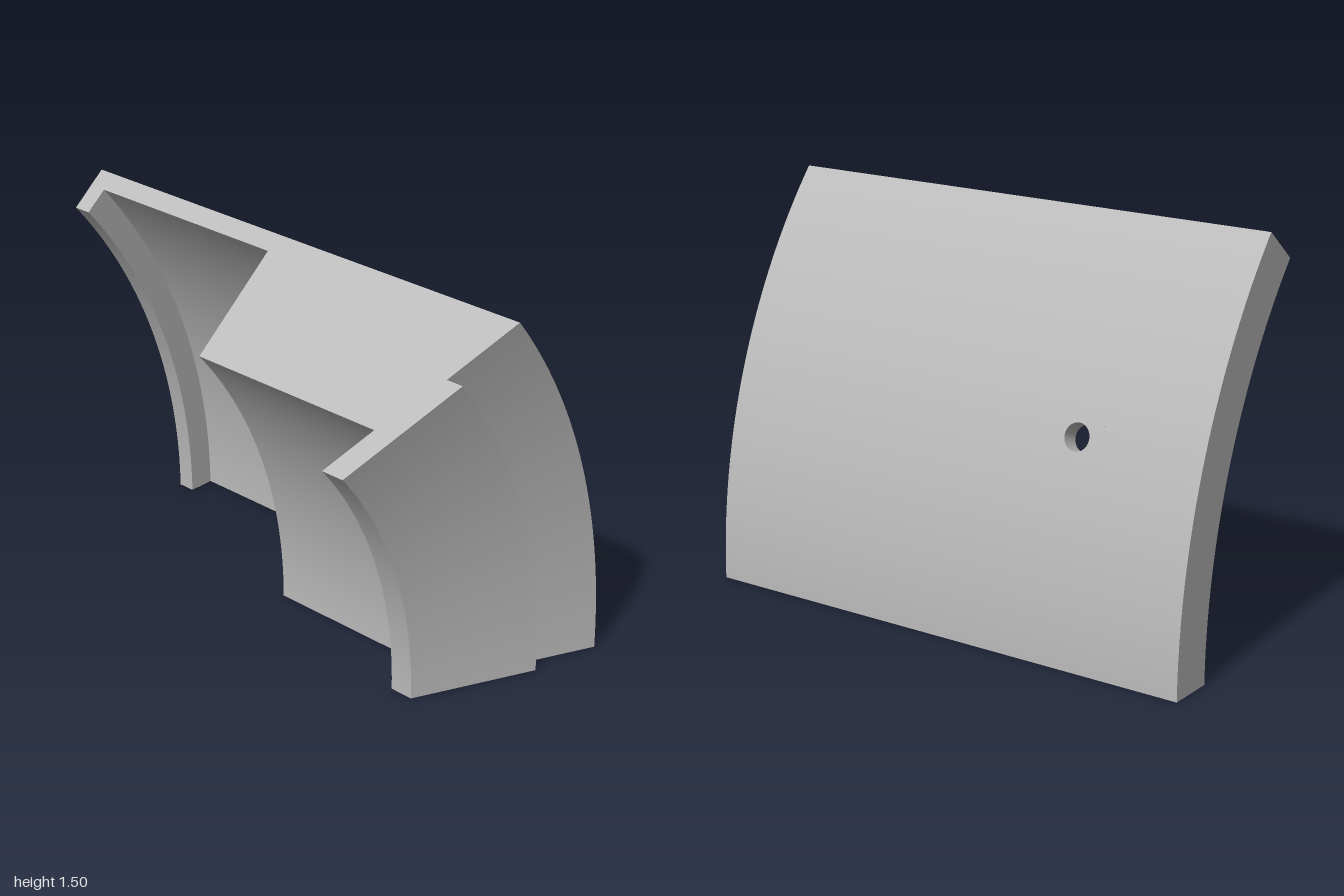
import * as THREE from 'three';
import { mergeGeometries } from 'three/addons/utils/BufferGeometryUtils.js';
import { ParametricGeometry } from 'three/addons/geometries/ParametricGeometry.js';

const AXIS_X = -1.781;                        // sweep axis, parallel to z
const rad = THREE.MathUtils.degToRad;
const SWEEP = rad(40);
const HOLE = { z: -0.5, angle: rad(20), radius: 0.05, halfZ: 0.1, halfAngle: rad(2.5) };
const R_OUT = 2.326, R_WALL = 2.254;

// Cross-section as [radius, z]; the solid is this outline swept through 40 degrees
const profile = [
  [R_OUT, 1], [R_OUT, -1], [2.149, -1], [2.149, -0.93], [R_WALL, -0.93], [R_WALL, -0.08],
  [1.803, -0.08], [1.803, 0.732], [1.606, 0.64], [1.606, 0.731], [2.054, 0.94], [2.054, 0.873],
];

const place = (r, z, a, out) => out.set(AXIS_X + r * Math.cos(a), r * Math.sin(a), z);

// One profile edge swept between two angles
function sweep([r0, z0], [r1, z1], a0 = 0, a1 = SWEEP) {
  const steps = Math.max(3, Math.round((a1 - a0) / SWEEP * 48));
  return new ParametricGeometry((u, v, out) =>
    place(r0 + (r1 - r0) * u, z0 + (z1 - z0) * u, a0 + (a1 - a0) * v, out), 1, steps);
}

// Point of the hole's rim at a given radius from the axis: [z, angle]
function rim(r, t) {
  return [HOLE.z + HOLE.radius * Math.cos(t),
    HOLE.angle + Math.asin(HOLE.radius * Math.sin(t) / r)];
}

// Curved patch between the round hole and a surrounding square
function holePatch(r, dir) {
  return new ParametricGeometry((u, v, out) => {
    const t = dir * u * Math.PI * 2, c = Math.cos(t), s = Math.sin(t);
    const m = Math.max(Math.abs(c), Math.abs(s));
    const [z, a] = rim(r, t);
    place(r, THREE.MathUtils.lerp(z, HOLE.z + HOLE.halfZ * c / m, v),
      THREE.MathUtils.lerp(a, HOLE.angle + HOLE.halfAngle * s / m, v), out);
  }, 48, 2);
}

// Swept wall edge (constant radius) with the hole left open
function sweepWithHole(r, z0, z1) {
  const dir = Math.sign(z0 - z1);             // +1 faces away from the axis
  const za = HOLE.z + dir * HOLE.halfZ, zb = HOLE.z - dir * HOLE.halfZ;
  return [
    sweep([r, z0], [r, za]),
    sweep([r, zb], [r, z1]),
    sweep([r, za], [r, zb], 0, HOLE.angle - HOLE.halfAngle),
    sweep([r, za], [r, zb], HOLE.angle + HOLE.halfAngle, SWEEP),
    holePatch(r, dir),
  ];
}

// Flat end of the sweep; side -1 is the bottom, +1 the top
function endCap(side, angle) {
  const shape = new THREE.Shape(profile.map(([r, z]) => new THREE.Vector2(r, -side * z)));
  return new THREE.ShapeGeometry(shape)
    .rotateX(-side * Math.PI / 2).rotateZ(angle).translate(AXIS_X, 0, 0);
}

export function createModel() {
  const group = new THREE.Group();
  group.name = 'curvedSegment';
  const grey = new THREE.MeshStandardMaterial({ color: 0xbbbbbb });
  grey.name = 'plain grey';
  const add = (name, parts) => {
    const mesh = new THREE.Mesh(mergeGeometries(parts), grey);
    mesh.name = name;
    group.add(mesh);
  };

  // Outer skin, back wall, ribs and flanges
  const skin = [], ribs = [];
  profile.forEach((p, i) => {
    const q = profile[(i + 1) % profile.length];
    if (i === 0) skin.push(...sweepWithHole(R_OUT, p[1], q[1]));
    else if (i === 4) ribs.push(...sweepWithHole(R_WALL, p[1], q[1]));
    else ribs.push(sweep(p, q));
  });
  add('outerSkin', skin);
  add('innerRibsAndFlanges', ribs);

  // Flat ends
  add('bottomEnd', [endCap(-1, 0)]);
  add('topEnd', [endCap(1, SWEEP)]);

  // Bore of the radial hole
  add('holeBore', [new ParametricGeometry((u, v, out) => {
    const r = THREE.MathUtils.lerp(R_WALL, R_OUT, v);
    const [z, a] = rim(r, u * Math.PI * 2);
    place(r, z, a, out);
  }, 48, 1)]);

  return group;
}
